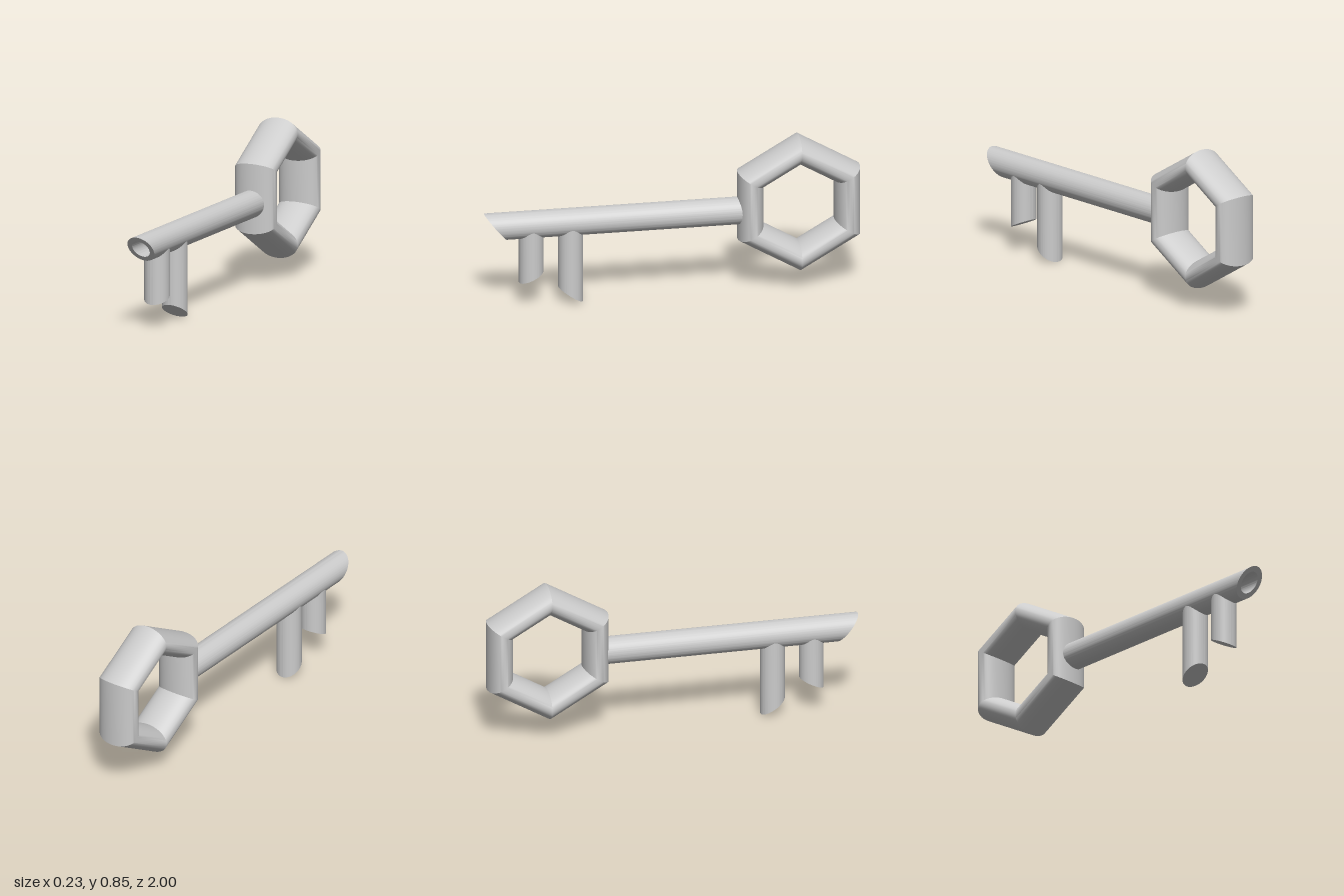
import * as THREE from 'three';
import { toCreasedNormals } from 'three/addons/utils/BufferGeometryUtils.js';

const CREASE = 0.5;
const SHAFT_Y = 0.447, SHAFT_R = 0.073, BORE_R = 0.048;

// Extruded rod whose vertices are then moved by a rule to cut its ends
function rod(shape, depth, place, rule) {
  const geo = new THREE.ExtrudeGeometry(shape, { depth, bevelEnabled: false, curveSegments: 56 });
  place(geo);
  const pos = geo.attributes.position;
  const v = new THREE.Vector3();
  for (let i = 0; i < pos.count; i++) {
    rule(v.fromBufferAttribute(pos, i));
    pos.setXYZ(i, v.x, v.y, v.z);
  }
  return toCreasedNormals(geo, CREASE);
}

function ellipse(rx, ry) {
  return new THREE.Shape().absellipse(0, 0, rx, ry, 0, Math.PI * 2, false, 0);
}

export function createModel() {
  const group = new THREE.Group();
  group.name = 'key';
  const material = new THREE.MeshStandardMaterial({ color: 0xcccccc });
  const add = (name, geometry) => {
    const mesh = new THREE.Mesh(geometry, material);
    mesh.name = name;
    group.add(mesh);
  };

  // Hexagonal bow: a six-segment torus, flattened to an oval section
  const bow = new THREE.TorusGeometry(0.2975, 0.078, 48, 6);
  bow.rotateZ(Math.PI / 2);
  bow.scale(1, 1, 1.5);
  bow.rotateY(Math.PI / 2);
  bow.translate(0, 0.475, -0.675);
  add('bow', toCreasedNormals(bow, CREASE));

  // Hollow shaft with a slanted tip
  const tube = ellipse(SHAFT_R, SHAFT_R);
  tube.holes.push(new THREE.Path().absellipse(0, 0, BORE_R, BORE_R, 0, Math.PI * 2, true, 0));
  add('shaft', rod(tube, 1.4, g => g.translate(0, SHAFT_Y, -0.4), v => {
    if (v.z > 0.5) v.z = 1 - (SHAFT_Y + SHAFT_R - v.y) * 0.82;
  }));

  // Two teeth: tops follow the shaft wall, bottoms are cut at a slant
  const teeth = [
    { name: 'frontTooth', z: 0.75, bottom: 0.155, slope: -0.46 },
    { name: 'rearTooth', z: 0.54, bottom: 0.043, slope: 0.66 },
  ];
  for (const { name, z, bottom, slope } of teeth) {
    const place = g => g.rotateX(-Math.PI / 2).translate(0, 0, z);
    add(name, rod(ellipse(0.068, 0.065), 1, place, v => {
      v.y = v.y > 0.5
        ? SHAFT_Y + 0.01 - Math.sqrt(SHAFT_R ** 2 - v.x ** 2)
        : bottom + slope * (v.z - z);
    }));
  }
  return group;
}
